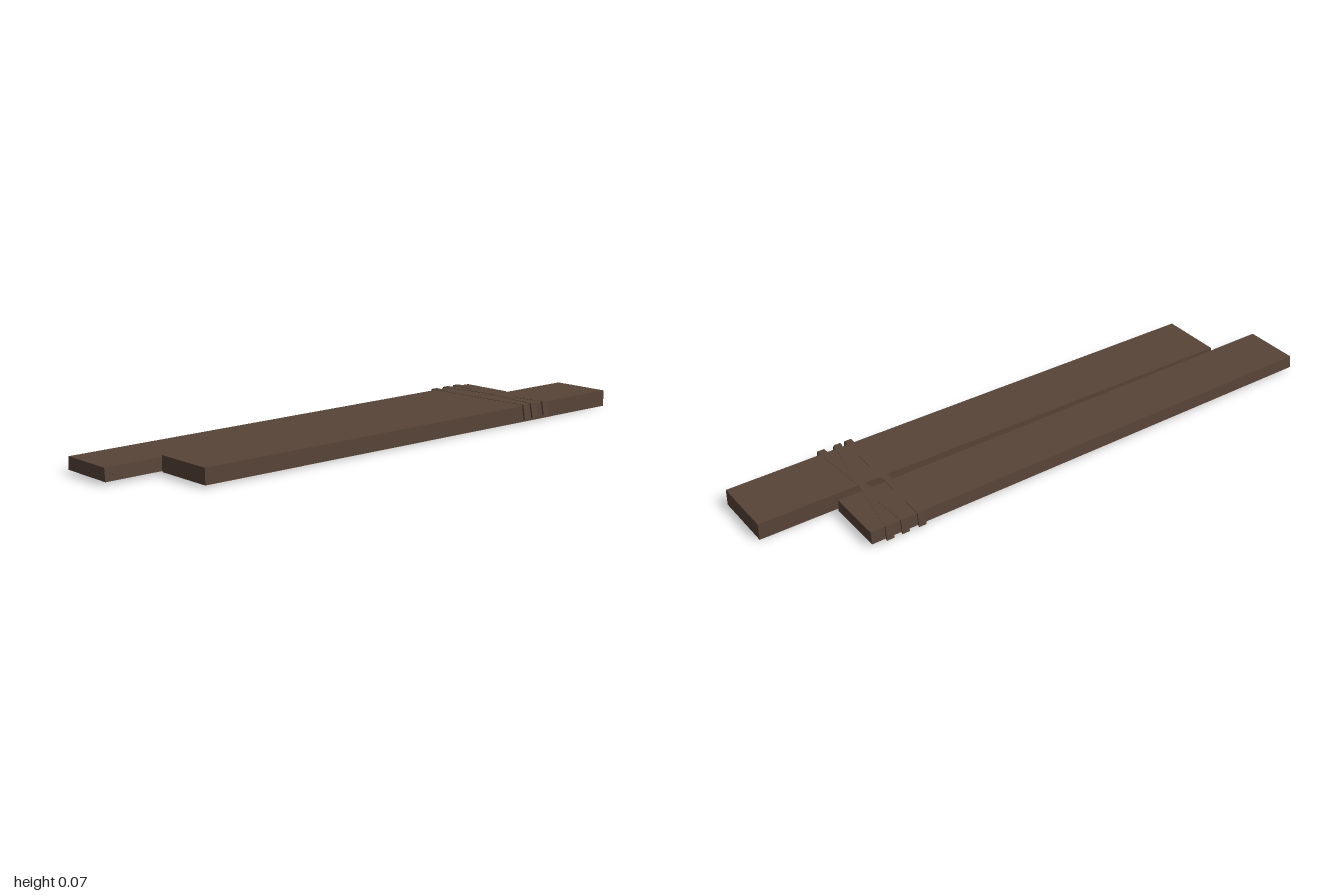
import * as THREE from 'three';

const darkWood = new THREE.MeshStandardMaterial({ color: 0x574437, side: THREE.DoubleSide });
darkWood.name = 'darkWood';

// Hollow board, open underneath; each end gives x range and y range at its z
function board(name, front, back, flare) {
  const geo = new THREE.BoxGeometry(1, 1, 1);
  const p = geo.attributes.position;
  for (let i = 0; i < p.count; i++) {
    const end = p.getZ(i) > 0 ? front : back;
    const side = p.getX(i) > 0 ? 1 : 0;
    const top = p.getY(i) > 0;
    const spread = top ? 0 : flare * (side ? 1 : -1);
    p.setXYZ(i, end.x[side] + spread, end.y[top ? 1 : 0], end.z);
  }
  // leave out the six indices of the bottom face
  const index = Array.from(geo.index.array);
  index.splice(geo.groups[3].start, 6);
  geo.setIndex(index);
  geo.clearGroups();
  geo.computeVertexNormals();
  const mesh = new THREE.Mesh(geo, darkWood);
  mesh.name = name;
  return mesh;
}

// Thin slat running from a to b, with its width along z
function slat(name, a, b, width, thickness) {
  const d = b.clone().sub(a);
  const mesh = new THREE.Mesh(new THREE.BoxGeometry(d.length(), thickness, width), darkWood);
  mesh.name = name;
  const x = d.normalize();
  const z = new THREE.Vector3(0, 0, 1).addScaledVector(x, -x.z).normalize();
  const y = z.clone().cross(x);
  mesh.quaternion.setFromRotationMatrix(new THREE.Matrix4().makeBasis(x, y, z));
  mesh.position.copy(a).add(b).multiplyScalar(0.5);
  return mesh;
}

export function createModel() {
  const model = new THREE.Group();
  model.name = 'boundBoards';
  const v = (x, y, z) => new THREE.Vector3(x, y, z);

  model.add(board('rightBoard',
    { x: [-0.224, -0.028], y: [0.011, 0.054], z: 1 },
    { x: [-0.224, -0.028], y: [0.011, 0.054], z: -0.74 }, 0.004));
  model.add(board('leftBoard',
    { x: [-0.023, 0.193], y: [0.008, 0.061], z: 0.8 },
    { x: [0.003, 0.219], y: [0.001, 0.059], z: -1 }, 0.001));

  // Crossing bindings over the top, with a short flap down each outer side
  for (const [zRight, zLeft] of [[-0.68, -0.6], [-0.625, -0.66], [-0.565, -0.56]]) {
    const binding = new THREE.Group();
    binding.name = 'binding';
    binding.add(slat('bindingTop', v(-0.229, 0.058, zRight), v(0.223, 0.066, zLeft), 0.026, 0.001));
    binding.add(slat('rightFlap', v(-0.235, 0.009, zRight), v(-0.229, 0.058, zRight), 0.026, 0.005));
    binding.add(slat('leftFlap', v(0.223, 0.066, zLeft), v(0.232, 0.016, zLeft), 0.026, 0.006));
    model.add(binding);
  }
  return model;
}
